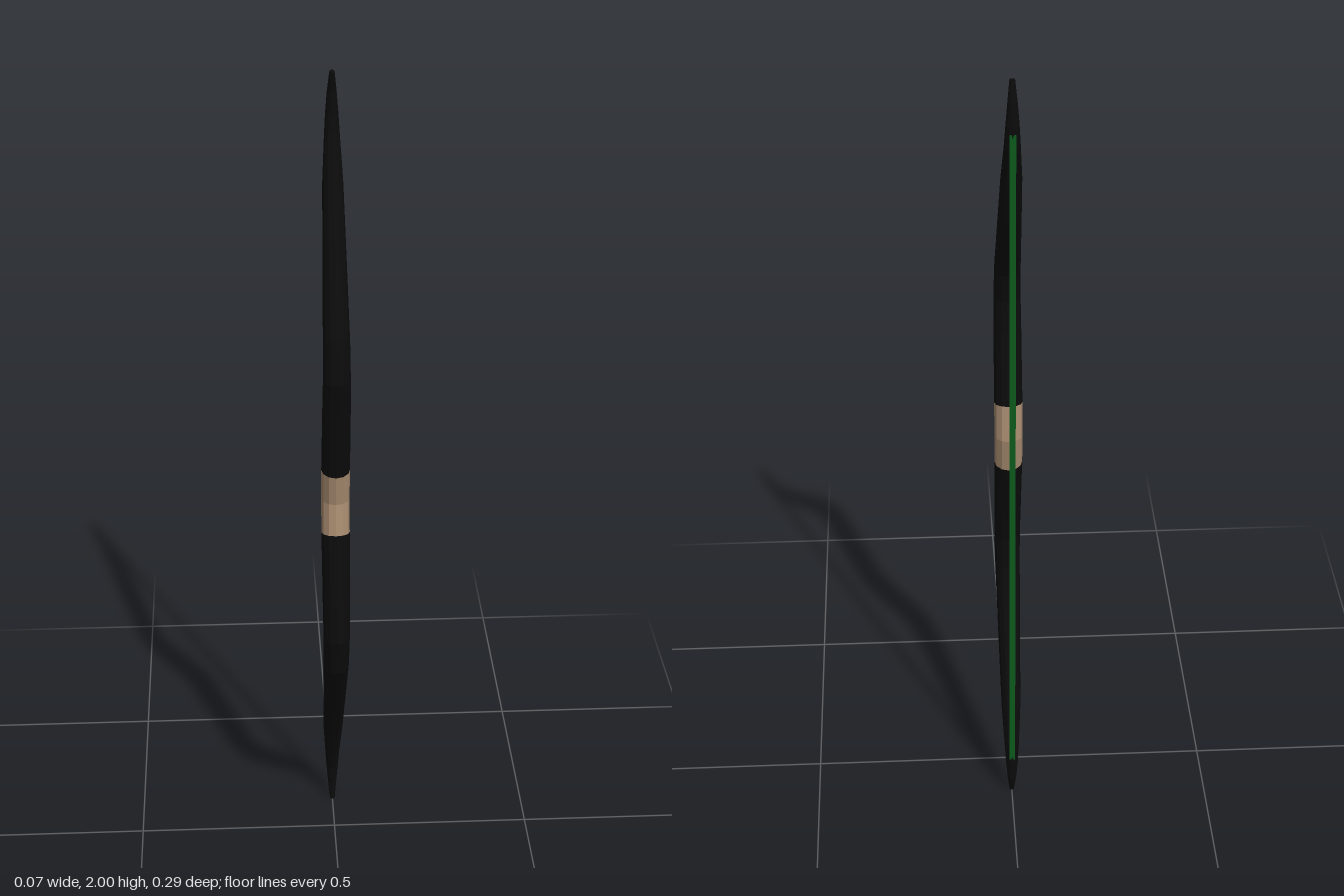
import * as THREE from 'three';

const SIDES = 12;

// Upper half of the bow, grip centre to tip: [y, z, half width, half depth]
const UPPER = [
  [1.0, 0.04, 0.034, 0.033],
  [1.085, 0.053, 0.034, 0.033],
  [1.26, 0.094, 0.033, 0.032],
  [1.345, 0.111, 0.032, 0.032],
  [1.435, 0.092, 0.031, 0.031],
  [1.62, -0.011, 0.027, 0.029],
  [1.75, -0.082, 0.024, 0.024],
  [1.85, -0.122, 0.018, 0.019],
  [1.9, -0.13, 0.015, 0.014],
  [1.95, -0.130, 0.011, 0.011],
  [1.998, -0.118, 0.006, 0.008],
];
const LOWER = UPPER.slice(1).reverse().map(([y, z, w, d]) => [2 - y, z, w, d]);
const PATH = [...LOWER, ...UPPER];

// Elliptical ring set square to the path at station i
function ring(i) {
  const [y, z, w, d] = PATH[i];
  const a = PATH[Math.max(i - 1, 0)];
  const b = PATH[Math.min(i + 1, PATH.length - 1)];
  const len = Math.hypot(b[0] - a[0], b[1] - a[1]);
  const ty = (b[0] - a[0]) / len, tz = (b[1] - a[1]) / len;
  const points = [];
  for (let k = 0; k < SIDES; k++) {
    const t = (k / SIDES) * Math.PI * 2;
    const s = Math.cos(t) * d;
    points.push([Math.sin(t) * w, y - s * tz, z + s * ty]);
  }
  return points;
}

// Closed tube through stations from..to
function sweep(from, to) {
  const positions = [], index = [];
  for (let i = from; i <= to; i++) ring(i).forEach((p) => positions.push(...p));
  const rows = to - from;
  for (let r = 0; r < rows; r++) {
    for (let k = 0; k < SIDES; k++) {
      const n = (k + 1) % SIDES;
      const a = r * SIDES + k, b = r * SIDES + n;
      index.push(a, b, b + SIDES, a, b + SIDES, a + SIDES);
    }
  }
  // end caps
  const top = rows * SIDES;
  for (let k = 1; k < SIDES - 1; k++) {
    index.push(0, k + 1, k, top, top + k, top + k + 1);
  }
  const geometry = new THREE.BufferGeometry();
  geometry.setAttribute('position', new THREE.Float32BufferAttribute(positions, 3));
  geometry.setIndex(index);
  const flat = geometry.toNonIndexed();
  flat.computeVertexNormals();
  return flat;
}

export function createModel() {
  const black = new THREE.MeshStandardMaterial({ color: 0x0b0b0c, flatShading: true });
  black.name = 'blackWood';
  const tan = new THREE.MeshStandardMaterial({ color: 0xa88c70, flatShading: true });
  tan.name = 'tanLeather';
  const green = new THREE.MeshStandardMaterial({ color: 0x0b5a1c, side: THREE.DoubleSide });
  green.name = 'greenString';

  const bow = new THREE.Group();
  bow.name = 'bow';
  const add = (name, geometry, material) => {
    const mesh = new THREE.Mesh(geometry, material);
    mesh.name = name;
    bow.add(mesh);
    return mesh;
  };

  // Limbs above and below the wrapped grip
  const mid = LOWER.length;
  add('lowerLimb', sweep(0, mid - 1), black);
  add('grip', sweep(mid - 1, mid + 1), tan);
  add('upperLimb', sweep(mid + 1, PATH.length - 1), black);

  // Flat ribbon string between the limb ends
  const string = add('string', new THREE.PlaneGeometry(0.015, 1.76), green);
  string.position.set(0, 1, -0.142);

  return bow;
}
